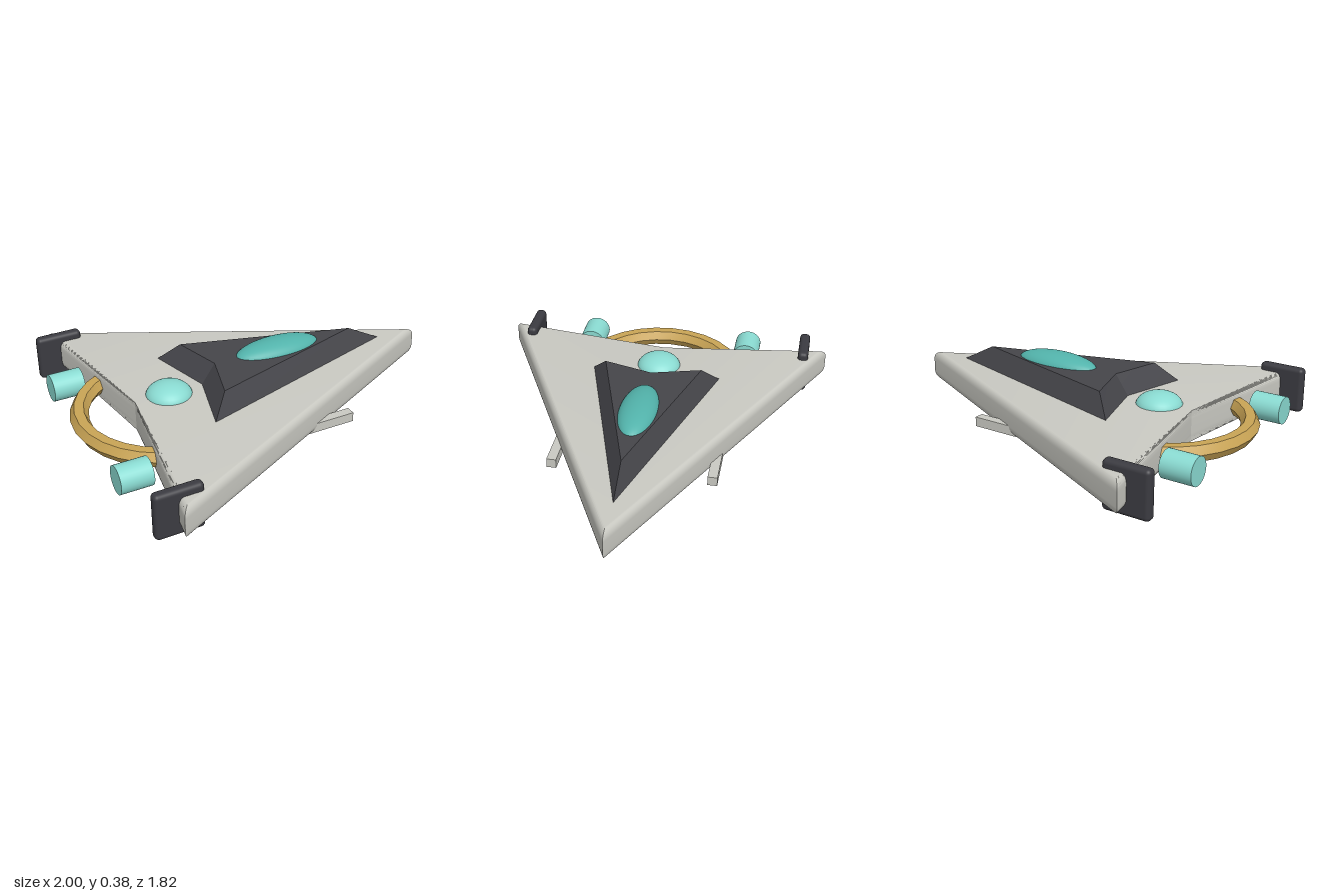
import * as THREE from 'three';
import { toCreasedNormals } from 'three/addons/utils/BufferGeometryUtils.js';
import { RoundedBoxGeometry } from 'three/addons/geometries/RoundedBoxGeometry.js';

const material = (name, color) => Object.assign(new THREE.MeshStandardMaterial({ color }), { name });

// Arrowhead cross-section: nose, left wing tip, rear notch, right wing tip
const arrow = (noseX, tipX, tipZ, notchX, y) => [
  [noseX, y, 0], [tipX, y, tipZ], [notchX, y, 0], [tipX, y, -tipZ],
];

// Joins arrowhead sections from bottom to top and caps both ends
function loft(rings) {
  const pos = [];
  const tri = (...corners) => corners.forEach((p) => pos.push(...p));
  for (let i = 0; i < rings.length - 1; i++) {
    for (let j = 0; j < 4; j++) {
      const k = (j + 1) % 4;
      const a = rings[i][j], b = rings[i][k], c = rings[i + 1][k], d = rings[i + 1][j];
      tri(a, d, b);
      tri(b, d, c);
    }
  }
  const low = rings[0], top = rings[rings.length - 1];
  tri(low[0], low[1], low[2]);
  tri(low[0], low[2], low[3]);
  tri(top[0], top[2], top[1]);
  tri(top[0], top[3], top[2]);
  const geo = new THREE.BufferGeometry();
  geo.setAttribute('position', new THREE.Float32BufferAttribute(pos, 3));
  return toCreasedNormals(geo, 0.25);
}

export function createModel() {
  const group = new THREE.Group();
  group.name = 'arrowheadShip';
  const hullGrey = material('hullGrey', 0xc9c9c2);
  const cabinGrey = material('cabinGrey', 0x45454a);
  const finGrey = material('finGrey', 0x3b3b41);
  const paleTeal = material('paleTeal', 0x8adbd2);
  const deepTeal = material('deepTeal', 0x52b3ab);
  const gold = material('gold', 0xc9a455);

  const add = (name, geo, mat, x = 0, y = 0, z = 0) => {
    const mesh = new THREE.Mesh(geo, mat);
    mesh.name = name;
    mesh.position.set(x, y, z);
    group.add(mesh);
    return mesh;
  };

  // Hull with rounded upper and lower edges
  const steps = 8, bottom = 0.069, top = 0.232, bevel = 0.045;
  const section = (t, y) => arrow(0.93 + 0.065 * t, -0.79 - 0.04 * t, 0.86 + 0.052 * t, -0.68, y);
  const lower = [], upper = [];
  for (let i = 0; i <= steps; i++) {
    const a = (i / steps) * Math.PI / 2;
    const out = Math.sin(a), rise = bevel * (1 - Math.cos(a));
    lower.push(section(out, bottom + rise));
    upper.unshift(section(out, top - rise));
  }
  add('hull', loft([...lower, ...upper]), hullGrey);

  // Raised cabin with sloping sides, and its canopy
  add('cabin', loft([
    arrow(0.77, -0.41, 0.355, -0.315, 0.225),
    arrow(0.565, -0.31, 0.262, -0.237, 0.335),
  ]), cabinGrey);
  add('canopy', new THREE.SphereGeometry(1, 40, 24), deepTeal, 0.125, 0.323, 0).scale.set(0.238, 0.062, 0.1);

  // Domes above and below the rear hull
  for (const [name, y] of [['upperDome', 0.222], ['lowerDome', 0.072]]) {
    add(name, new THREE.SphereGeometry(1, 32, 20), paleTeal, -0.495, y, 0).scale.set(0.119, 0.071, 0.119);
  }

  // Six-sided half ring behind the hull
  const ring = new THREE.TorusGeometry(0.434, 0.048, 6, 14, Math.PI);
  ring.rotateZ(Math.PI / 2).rotateX(Math.PI / 2);
  add('rearRing', toCreasedNormals(ring, 0.5), gold, -0.518, 0.152, 0);

  // Paired thrusters, wing tip fins and side struts
  for (const [side, s] of [['left', 1], ['right', -1]]) {
    const tube = new THREE.CylinderGeometry(0.072, 0.072, 0.166, 32).rotateZ(Math.PI / 2);
    add(side + 'Thruster', tube, paleTeal, -0.886, 0.15, s * 0.455);
    add(side + 'Fin', new RoundedBoxGeometry(0.246, 0.245, 0.057, 4, 0.022), finGrey, -0.805, 0.15, s * 0.786);
    add(side + 'Strut', new THREE.BoxGeometry(0.41, 0.05, 0.05), hullGrey, 0.125, 0.09, s * 0.414);
  }
  return group;
}
